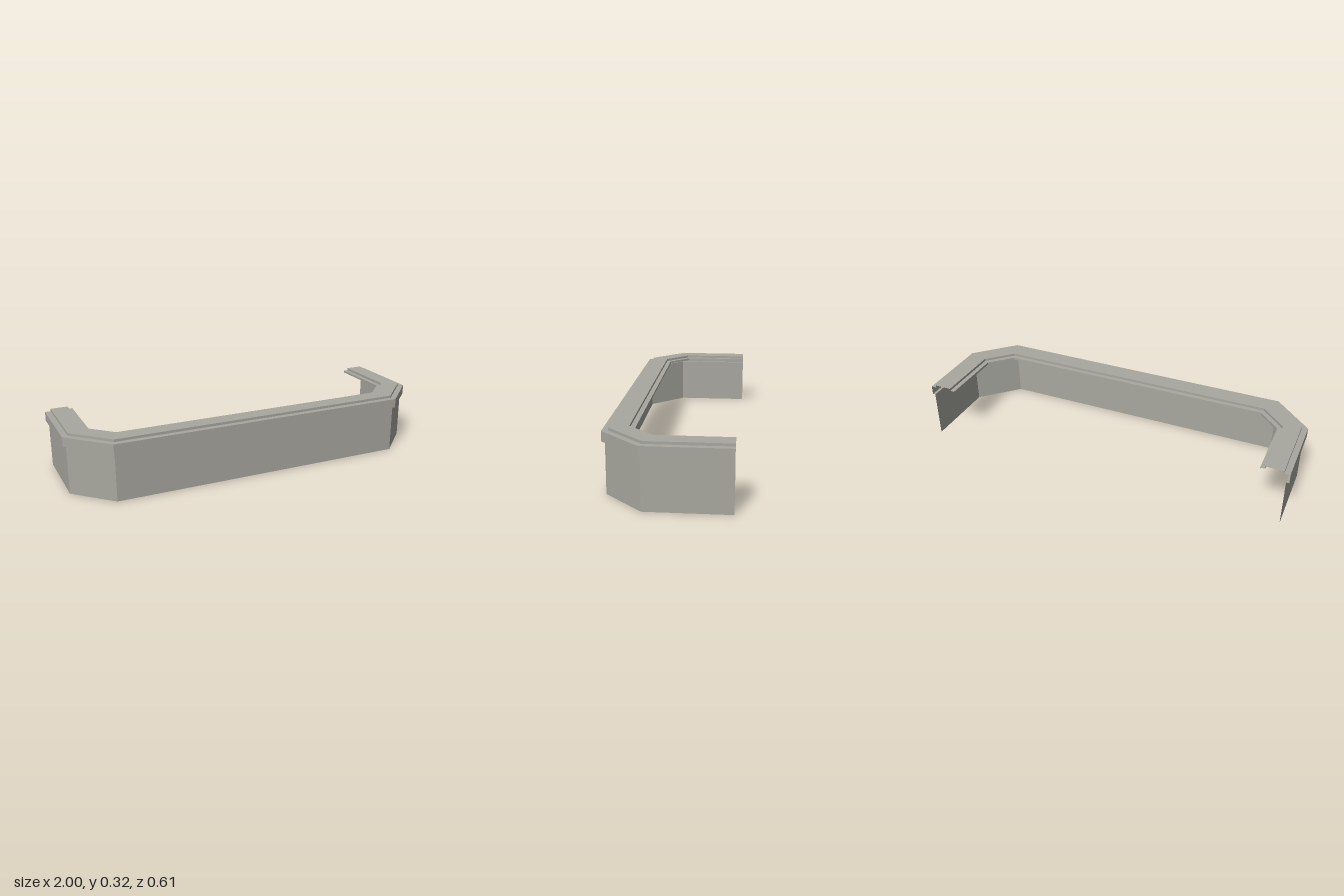
import * as THREE from 'three';

// Plan outline of the counter, moved inwards by d (45 degree mitred corners)
function outline(d) {
  const k = d * Math.tan(Math.PI / 8);
  const half = [[1 - d, -0.303], [1 - d, 0.108 - k], [0.803 - k, 0.303 - d]];
  return [...half.map(([x, z]) => [-x, z]), ...half.reverse()];
}

// Sweep a profile of [inset, height] points along the outline, flat faceted
function sweep(name, profile, material) {
  const pos = [];
  for (let j = 0; j < profile.length - 1; j++) {
    const [lowD, lowY] = profile[j];
    const [highD, highY] = profile[j + 1];
    const low = outline(lowD), high = outline(highD);
    for (let i = 0; i < low.length - 1; i++) {
      const a = [low[i][0], lowY, low[i][1]];
      const b = [low[i + 1][0], lowY, low[i + 1][1]];
      const c = [high[i + 1][0], highY, high[i + 1][1]];
      const d = [high[i][0], highY, high[i][1]];
      pos.push(...a, ...b, ...c, ...a, ...c, ...d);
    }
  }
  const geometry = new THREE.BufferGeometry();
  geometry.setAttribute('position', new THREE.Float32BufferAttribute(pos, 3));
  geometry.computeVertexNormals();
  const mesh = new THREE.Mesh(geometry, material);
  mesh.name = name;
  return mesh;
}

export function createModel() {
  const group = new THREE.Group();
  group.name = 'counter';
  const stone = new THREE.MeshStandardMaterial({ color: 0xa8a79f, side: THREE.DoubleSide });
  stone.name = 'warm grey';

  group.add(
    // Thin front panel standing on the floor
    sweep('frontPanel', [[0.015, 0], [0.015, 0.254]], stone),
    // Overhanging band around the outside, with its narrow ledge
    sweep('outerTrim', [[0.015, 0.254], [0, 0.254], [0, 0.303], [0.03, 0.303]], stone),
    // Raised worktop
    sweep('worktop', [[0.03, 0.303], [0.03, 0.316], [0.12, 0.316], [0.12, 0.303]], stone),
    // Ledge and small lip on the inside
    sweep('innerLip', [[0.12, 0.303], [0.145, 0.303], [0.145, 0.291]], stone)
  );
  return group;
}
